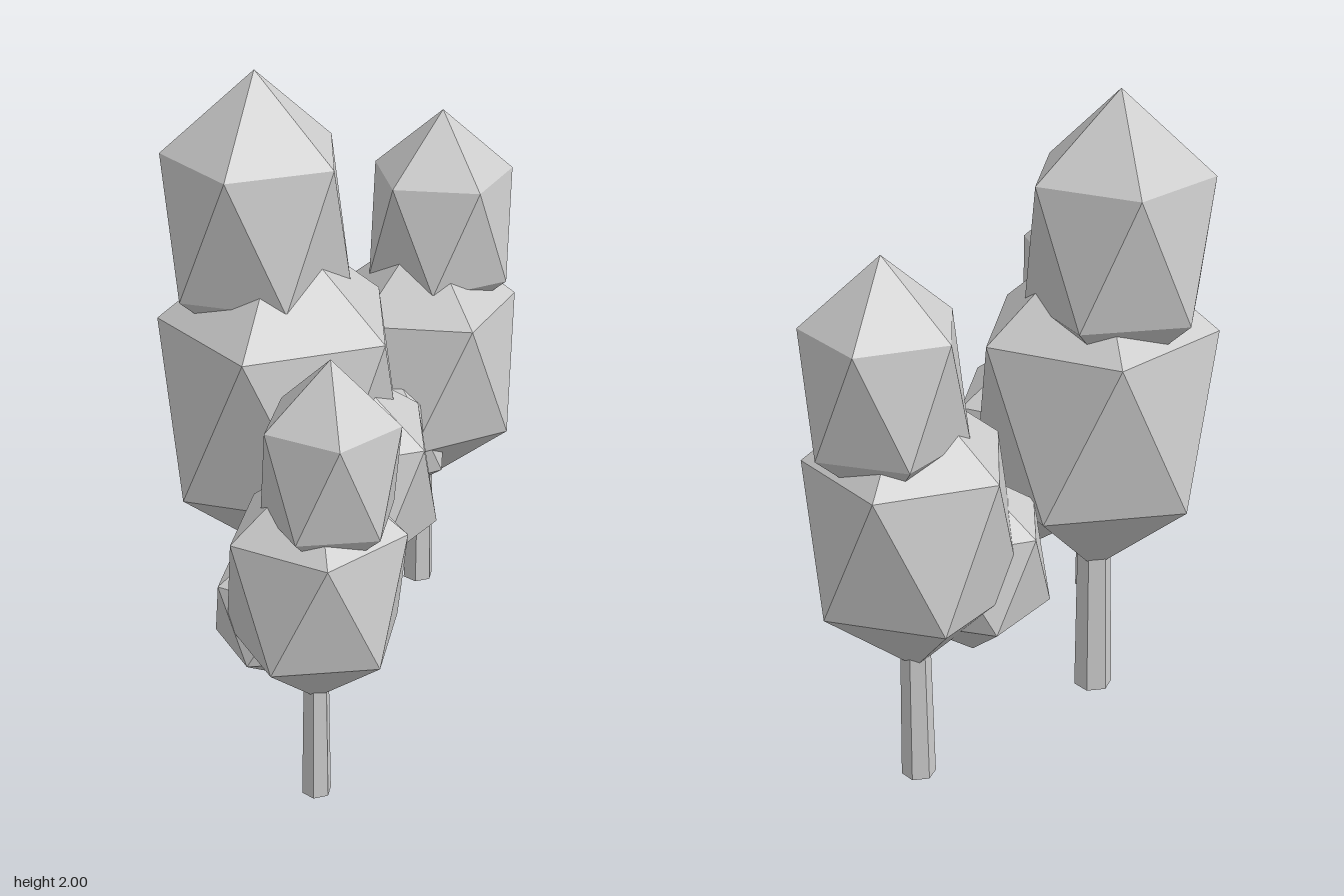
import * as THREE from 'three';

const grey = new THREE.MeshStandardMaterial({ color: 0xcccccc });
grey.name = 'plain grey';

// Faceted leaf clump: an icosahedron standing on a corner, stretched in height.
// ring = radius of its five-corner rings, turn = angle of an upper corner from +x towards +z
function clump(name, [x, y, z], ring, halfHeight, turn) {
  const r = ring / 0.8944;
  const geo = new THREE.IcosahedronGeometry(1, 0);
  geo.rotateZ(Math.atan(2 / (1 + Math.sqrt(5))));
  geo.rotateY(Math.PI - THREE.MathUtils.degToRad(turn));
  geo.scale(r, halfHeight, r);
  geo.computeVertexNormals();
  const mesh = new THREE.Mesh(geo, grey);
  mesh.name = name;
  mesh.position.set(x, y, z);
  return mesh;
}

// Six-sided trunk, slightly tapered, ending inside the main clump
function trunk(x, z, radius, height) {
  const geo = new THREE.CylinderGeometry(radius * 0.75, radius, height, 6).toNonIndexed();
  geo.computeVertexNormals();
  const mesh = new THREE.Mesh(geo, grey);
  mesh.name = 'trunk';
  mesh.position.set(x, height / 2, z);
  return mesh;
}

// Each clump: centre, ring radius, half height
const trees = [
  {
    name: 'tallTree', turn: 24, trunkRadius: 0.061,
    main: [[-0.137, 0.99, 0.049], 0.374, 0.57],
    top: [[-0.22, 1.543, 0.01], 0.282, 0.457],
    side: [[0.084, 0.788, 0.164], 0.277, 0.362],
  },
  {
    name: 'backTree', turn: -21, trunkRadius: 0.052,
    main: [[0.196, 0.835, -0.626], 0.311, 0.469],
    top: [[0.239, 1.296, -0.695], 0.236, 0.382],
    side: [[0.075, 0.663, -0.471], 0.232, 0.297],
  },
  {
    name: 'frontTree', turn: 0, trunkRadius: 0.045,
    main: [[0.091, 0.721, 0.688], 0.262, 0.393],
    top: [[0.14, 1.104, 0.728], 0.198, 0.33],
    side: [[-0.037, 0.563, 0.577], 0.196, 0.24],
  },
];

export function createModel() {
  const model = new THREE.Group();
  model.name = 'treeCluster';
  for (const t of trees) {
    const tree = new THREE.Group();
    tree.name = t.name;
    const [x, y, z] = t.main[0];
    tree.add(
      trunk(x, z, t.trunkRadius, y),
      clump('mainFoliage', ...t.main, t.turn),
      clump('topFoliage', ...t.top, t.turn),
      clump('sideFoliage', ...t.side, t.turn),
    );
    model.add(tree);
  }
  return model;
}
